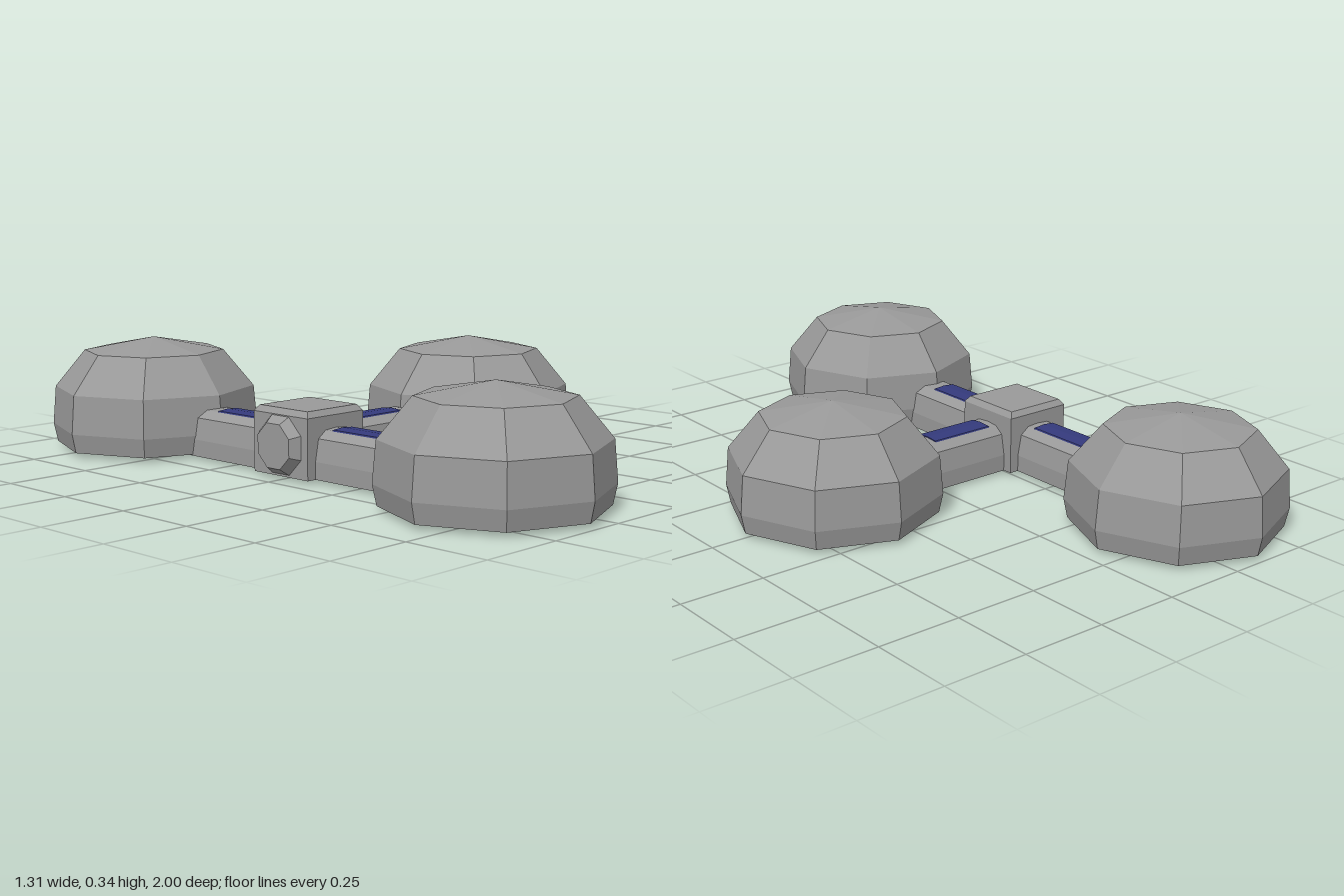
import * as THREE from 'three';

const grey = new THREE.MeshStandardMaterial({ color: 0x999999 });
grey.name = 'grey hull';
grey.flatShading = true;
const blue = new THREE.MeshStandardMaterial({ color: 0x343a7c });
blue.name = 'blue window';
blue.flatShading = true;

function part(name, geometry, material, parent) {
  const mesh = new THREE.Mesh(geometry, material);
  mesh.name = name;
  parent.add(mesh);
  return mesh;
}

// Closed outline (z across, y up) extruded along +x from x0 to x1
function beam(points, x0, x1) {
  const shape = new THREE.Shape(points.map(([a, b]) => new THREE.Vector2(a, b)));
  const g = new THREE.ExtrudeGeometry(shape, { depth: x1 - x0, bevelEnabled: false });
  return g.translate(0, 0, x0).rotateY(Math.PI / 2);
}

// Square block with sloped sides between two heights
function block(bottomHalf, topHalf, y0, y1) {
  const g = new THREE.CylinderGeometry(topHalf * Math.SQRT2, bottomHalf * Math.SQRT2, y1 - y0, 4);
  return g.rotateY(Math.PI / 4).translate(0, (y0 + y1) / 2, 0);
}

export function createModel() {
  const model = new THREE.Group();
  model.name = 'domeHabitat';
  const hub = new THREE.Group();
  hub.name = 'hub';
  hub.position.x = -0.345;
  model.add(hub);

  // Central junction with a bevelled roof
  part('hubBody', block(0.108, 0.108, 0.01, 0.183), grey, hub);
  part('hubRoof', block(0.108, 0.096, 0.183, 0.2), grey, hub);

  // Octagonal hatch on the free side
  const hatch = new THREE.CylinderGeometry(0.068, 0.09, 0.03, 8);
  hatch.rotateY(Math.PI / 8).rotateZ(Math.PI / 2);
  part('hatch', hatch, grey, hub).position.set(-0.121, 0.098, 0);

  // Eight-sided dome profile
  const profile = [[0, 0], [0.22, 0.004], [0.302, 0.013], [0.314, 0.07], [0.304, 0.185], [0.212, 0.297], [0, 0.337]]
    .map(([r, y]) => new THREE.Vector2(r, y));
  const domeGeometry = new THREE.LatheGeometry(profile, 8);

  // Corridor cross-section and the window plate following its roof
  const tunnel = [[-0.078, 0.01], [0.078, 0.01], [0.078, 0.06], [0.066, 0.123], [0.038, 0.144],
    [0, 0.147], [-0.038, 0.144], [-0.066, 0.123], [-0.078, 0.06]];
  const pane = [[-0.042, 0.138], [0.042, 0.138], [0.037, 0.147], [0, 0.15], [-0.037, 0.147]];

  // Three arms: right, front and back
  [['side', 0], ['front', -Math.PI / 2], ['back', Math.PI / 2]].forEach(([name, angle]) => {
    const arm = new THREE.Group();
    arm.name = name + 'Arm';
    arm.rotation.y = angle;
    hub.add(arm);
    part(name + 'Corridor', beam(tunnel, 0.09, 0.46), grey, arm);
    part(name + 'Window', beam(pane, 0.135, 0.342), blue, arm);
    part(name + 'Dome', domeGeometry, grey, arm).position.x = name === 'side' ? 0.685 : 0.684;
  });

  return model;
}
